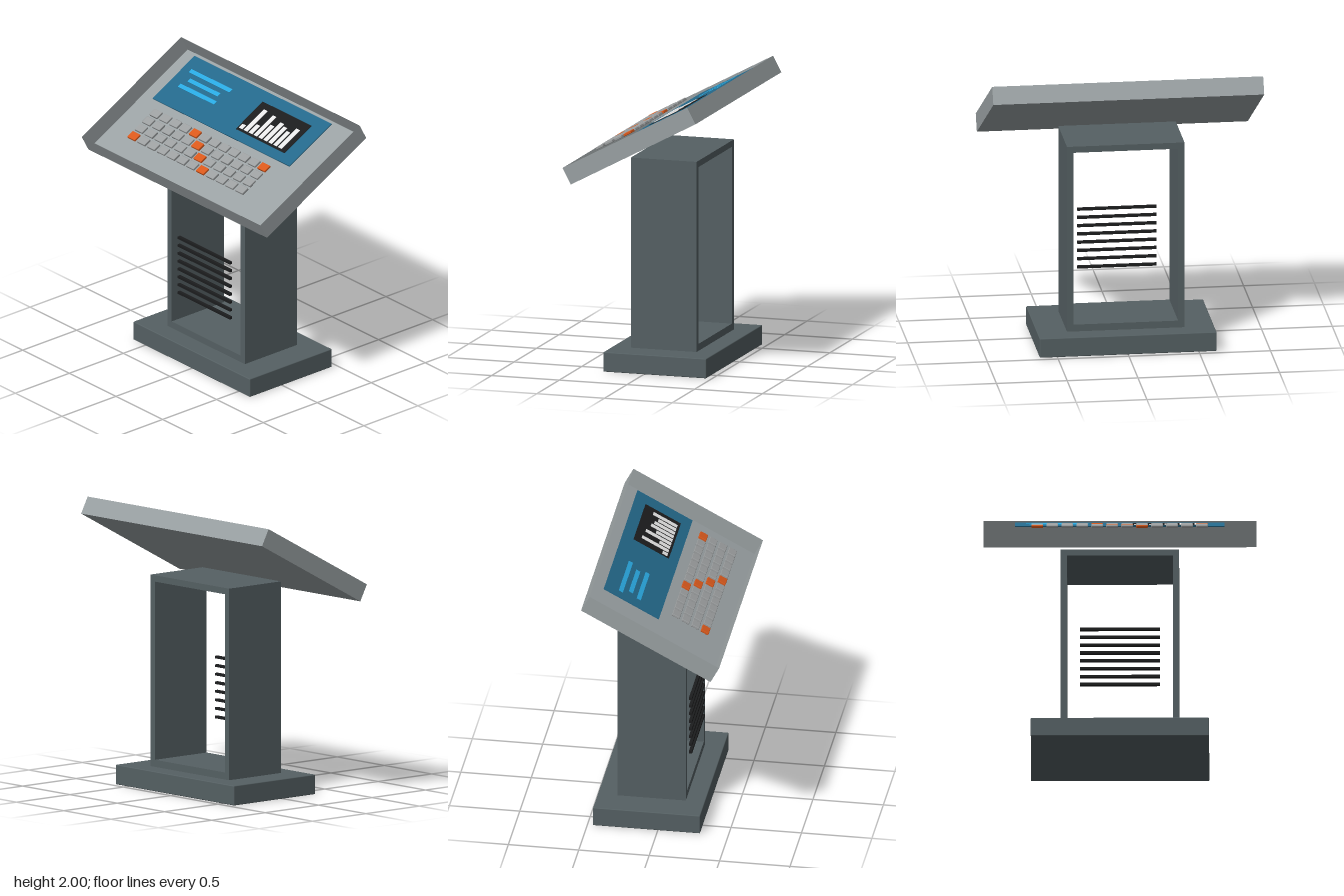
import * as THREE from 'three';
import { RoundedBoxGeometry } from 'three/addons/geometries/RoundedBoxGeometry.js';

const material = (name, color, side = THREE.FrontSide) =>
  Object.assign(new THREE.MeshStandardMaterial({ color, side }), { name });

export function createModel() {
  const standGrey = material('stand grey', 0x556063);
  const trayGrey = material('tray grey', 0x9aa1a3, THREE.DoubleSide);
  const keyGrey = material('key grey', 0x9c9fa0);
  const keyOrange = material('key orange', 0xd9591c);
  const screenBlue = material('screen blue', 0x24688a);
  const lineBlue = material('line blue', 0x29a8e0);
  const black = material('black', 0x1c1d1e);
  const white = material('white', 0xe6e6e6);

  const model = new THREE.Group();
  model.name = 'kiosk';

  const add = (parent, name, geometry, mat, x, y, z) => {
    const mesh = new THREE.Mesh(geometry, mat);
    mesh.name = name;
    mesh.position.set(x, y, z);
    parent.add(mesh);
    return mesh;
  };

  // Base slab
  add(model, 'base', new RoundedBoxGeometry(1.25, 0.14, 0.76, 2, 0.006), standGrey, 0, 0.07, -0.08);

  // Stand: a rectangular frame, open at front and back
  const rect = (path, x, y0, y1) => {
    path.moveTo(-x, y0);
    path.lineTo(x, y0);
    path.lineTo(x, y1);
    path.lineTo(-x, y1);
    path.closePath();
    return path;
  };
  const frame = rect(new THREE.Shape(), 0.415, 0.14, 1.5);
  frame.holes.push(rect(new THREE.Path(), 0.37, 0.19, 1.455));
  add(model, 'stand', new THREE.ExtrudeGeometry(frame, { depth: 0.485, bevelEnabled: false }),
    standGrey, 0, 0, -0.32);

  // Grille bars across the front of the stand
  const barGeometry = new THREE.BoxGeometry(0.56, 0.018, 0.022);
  for (let i = 0; i < 8; i++) {
    add(model, 'grilleBar', barGeometry, black, 0, 0.453 + i * 0.0608, 0.176);
  }

  // Tilted console; its local y = 0 is the rim of the tray
  const console_ = new THREE.Group();
  console_.name = 'console';
  console_.position.set(0, 1.755, 0.03);
  console_.rotation.x = Math.atan2(0.49, 0.92);
  model.add(console_);

  // Open tray: a box without its top face
  const tray = new THREE.BoxGeometry(1.914, 0.13, 1.042);
  const index = Array.from(tray.index.array);
  index.splice(12, 6);
  tray.setIndex(index);
  tray.clearGroups();
  add(console_, 'tray', tray, trayGrey, 0, -0.065, 0);

  // Thin plate given by its extents in x and z
  const plate = (name, mat, x0, x1, z0, z1, top, thick = 0.003) =>
    add(console_, name, new THREE.BoxGeometry(x1 - x0, thick, z1 - z0), mat,
      (x0 + x1) / 2, top - thick / 2, (z0 + z1) / 2);

  // Screen with text lines and a bar chart
  plate('screen', screenBlue, -0.735, 0.732, -0.441, 0.001, -0.008, 0.008);
  for (const [x0, x1, z] of [[-0.66, -0.22, -0.321], [-0.6, -0.28, -0.251], [-0.635, -0.245, -0.182]]) {
    plate('screenLine', lineBlue, x0, x1, z - 0.016, z + 0.016, -0.005);
  }
  plate('chart', black, 0.085, 0.607, -0.356, -0.072, -0.005);
  [0.04, 0.215, 0.085, 0.204, 0.13, 0.181, 0.164, 0.142, 0.193].forEach((h, i) => {
    const x = 0.118 + i * 0.0528;
    plate('chartBar', white, x - 0.019, x + 0.019, -0.09 - h, -0.09, -0.002);
  });

  // Keyboard of 4 rows by 12 columns, with a few orange keys
  const keyGeometry = new RoundedBoxGeometry(0.082, 0.018, 0.06, 2, 0.004);
  const orangeColumns = [[4, 11], [5], [6], [0, 7]];
  orangeColumns.forEach((orange, row) => {
    for (let col = 0; col < 12; col++) {
      add(console_, 'key', keyGeometry, orange.includes(col) ? keyOrange : keyGrey,
        -0.58 + col * 0.105, 0.007, 0.106 + row * 0.0775);
    }
  });

  return model;
}
